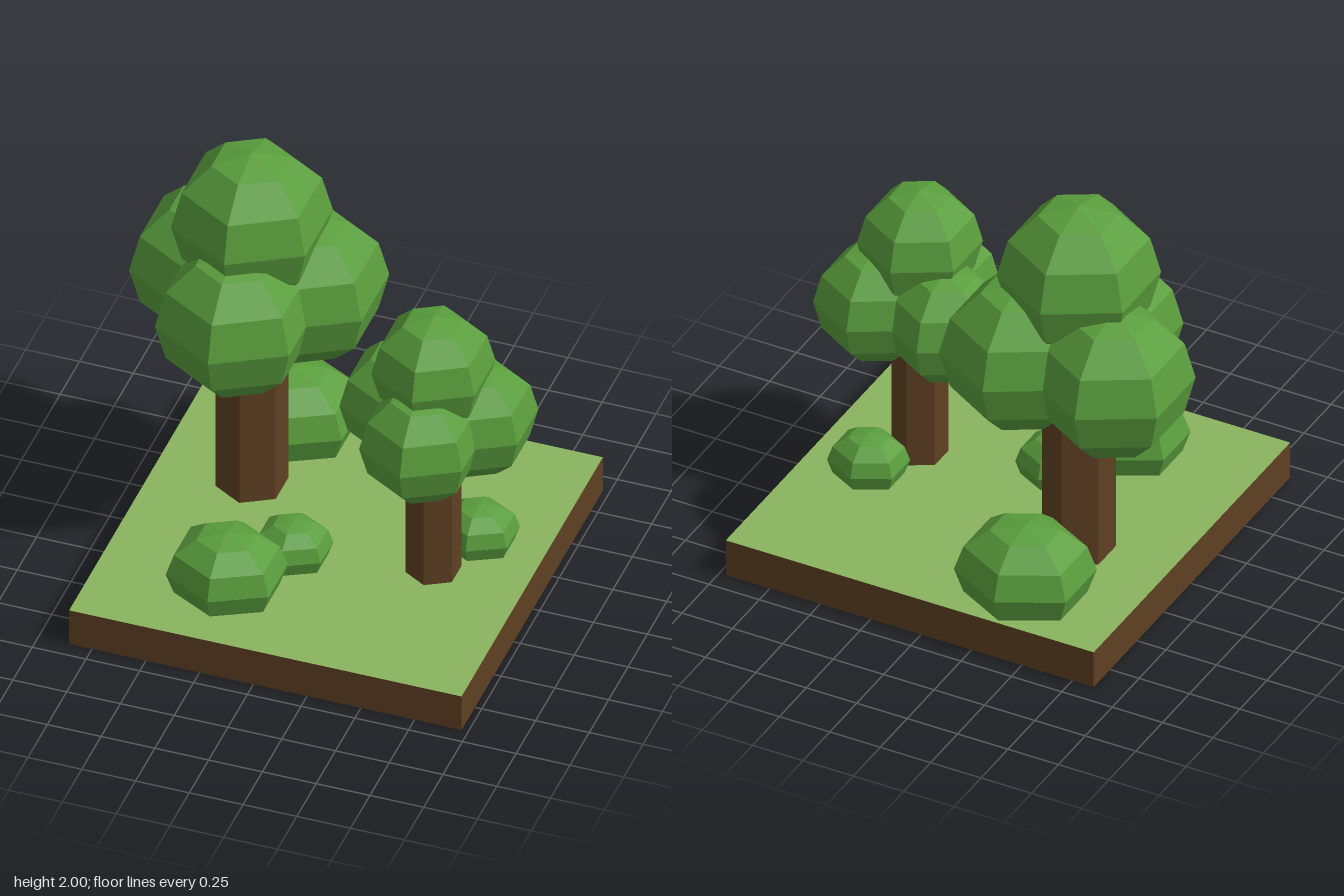
import * as THREE from 'three';

const leaf = new THREE.MeshStandardMaterial({ color: 0x5a9e3d });
leaf.name = 'leafGreen';
const grass = new THREE.MeshStandardMaterial({ color: 0x8ab45f, side: THREE.DoubleSide });
grass.name = 'grassGreen';
const wood = new THREE.MeshStandardMaterial({ color: 0x5f4023, side: THREE.DoubleSide });
wood.name = 'earthBrown';

const GROUND = 0.185;

// Faceted normals baked into the geometry
function faceted(geometry) {
  const g = geometry.toNonIndexed();
  g.computeVertexNormals();
  return g;
}

function addMesh(parent, name, geometry, material, x = 0, y = 0, z = 0) {
  const mesh = new THREE.Mesh(geometry, material);
  mesh.name = name;
  mesh.position.set(x, y, z);
  parent.add(mesh);
  return mesh;
}

// Six-sided ball with corners on the z axis; arc < PI leaves it open below
function leafBall(rx, ry, rz, arc = Math.PI, rings = 6) {
  const g = new THREE.SphereGeometry(1, 6, rings, 0, Math.PI * 2, 0, arc);
  g.rotateY(Math.PI / 2);
  g.scale(rx, ry, rz);
  return faceted(g);
}

// Hexagonal open trunk with a crown of one top ball and three lower ones
function makeTree(name, { x, z, trunkR, trunkTop, r, topY, lowY, lower }) {
  const tree = new THREE.Group();
  tree.name = name;
  tree.position.set(x, 0, z);
  const bottom = 0.12;
  const trunk = new THREE.CylinderGeometry(trunkR, trunkR, trunkTop - bottom, 6, 1, true);
  addMesh(tree, 'trunk', faceted(trunk), wood, 0, (trunkTop + bottom) / 2, 0);
  const ball = leafBall(r, r, r);
  addMesh(tree, 'crownTop', ball, leaf, 0, topY, 0);
  lower.forEach(([dx, dz], i) => addMesh(tree, 'crownLower' + (i + 1), ball, leaf, dx, lowY, dz));
  return tree;
}

export function createModel() {
  const model = new THREE.Group();
  model.name = 'treePlot';

  // Ground slab: grass sheet with four thin earth walls, open below
  const size = 1.825, cx = 0.056, cz = 0.01;
  const base = new THREE.Group();
  base.name = 'ground';
  base.position.set(cx, 0, cz);
  model.add(base);
  const sheet = new THREE.PlaneGeometry(size, size).rotateX(-Math.PI / 2);
  addMesh(base, 'grass', sheet, grass, 0, GROUND, 0);
  for (let i = 0; i < 4; i++) {
    const wall = new THREE.PlaneGeometry(size, GROUND);
    wall.translate(0, GROUND / 2, size / 2).rotateY((i * Math.PI) / 2);
    addMesh(base, 'earthWall' + (i + 1), wall, wood);
  }

  // Trees
  model.add(makeTree('tallTree', {
    x: -0.417, z: -0.217, trunkR: 0.162, trunkTop: 1.35, r: 0.36, topY: 1.64, lowY: 1.24,
    lower: [[0, 0.207], [-0.243, -0.135], [0.214, -0.135]],
  }));
  model.add(makeTree('smallTree', {
    x: 0.542, z: 0.102, trunkR: 0.125, trunkTop: 1.1, r: 0.276, topY: 1.3, lowY: 0.997,
    lower: [[0, 0.158], [-0.186, -0.104], [0.162, -0.104]],
  }));

  // Bushes: flattened balls cut off at the grass; [x, z, radius]
  const bushes = [
    [-0.262, 0.537, 0.276],
    [-0.372, -0.63, 0.32],
    [-0.064, 0.23, 0.182],
    [0.663, -0.148, 0.186],
  ];
  bushes.forEach(([x, z, r], i) => {
    const ry = r * 0.75;
    const g = leafBall(r, ry, r * 0.91, (Math.PI * 2) / 3, 4);
    addMesh(model, 'bush' + (i + 1), g, leaf, x, GROUND + ry / 2 - 0.002, z);
  });

  return model;
}
